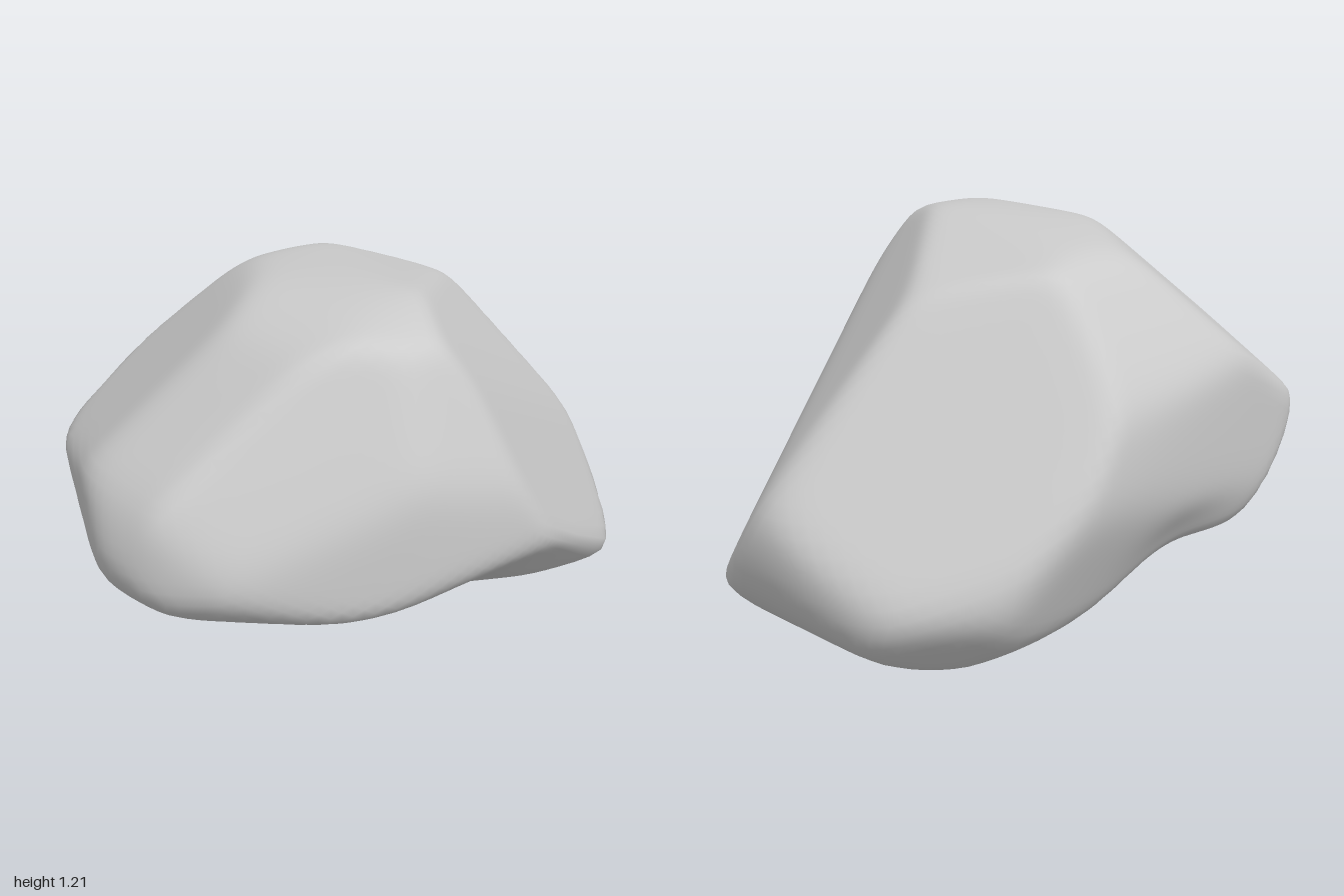
import * as THREE from 'three';
import { mergeVertices } from 'three/addons/utils/BufferGeometryUtils.js';

const CENTRE_Y = 0.6;

// Convex outlines of the boulder: elevation (x, y), profile (z, y), plan (x, z)
const ELEVATION = [[-1, 0.57], [-0.92, 0.75], [-0.47, 1.12], [-0.3, 1.18], [-0.05, 1.21], [0.45, 1.08], [0.55, 1.02],
  [0.97, 0.51], [1, 0.42], [0.97, 0.26], [0.9, 0.14], [0.82, 0.07], [0.7, 0.03], [0.42, 0], [-0.7, 0.2], [-0.9, 0.38]];
const PROFILE = [[0.77, 0.52], [0.76, 0.66], [0.56, 1.13], [0.5, 1.16], [0.27, 1.21], [0, 1.2], [-0.38, 1.16], [-0.46, 1.12],
  [-0.68, 0.88], [-0.74, 0.78], [-0.77, 0.56], [-0.61, 0.15], [-0.42, 0.03], [-0.2, 0], [0.25, 0], [0.35, 0.06]];
const PLAN = [[-1, 0.16], [-0.97, 0.28], [-0.8, 0.49], [-0.3, 0.71], [0.16, 0.765], [0.23, 0.75], [0.57, 0.61], [0.88, 0.39],
  [0.97, 0.25], [1, 0], [0.9, -0.42], [0.8, -0.55], [0.65, -0.68], [0.42, -0.77], [-0.6, -0.68], [-0.71, -0.58]];

// Oblique worn faces: normal and distance from the centre
const FACETS = [
  [0.6, 0.45, 0.66, 0.565], // broad front face on the +x side
  [0.6, 0.63, 0.49, 0.54], // its upper part, up to the ridge
  [0.716, 0.537, -0.445, 0.66], // broad back face on the +x side
  [-0.52, 0.75, -0.4, 0.62], // broad sloping top towards the back
  [-0.3, 0.906, -0.3, 0.64],
  [-0.5, 0.4, 0.77, 0.765], // front corner on the -x side
  [-0.3, -0.906, 0.3, 0.52], // underside of the overhang
  [-0.13, -0.88, 0.45, 0.515],
  [-0.75, -0.52, -0.41, 0.76],
  [-0.62, -0.78, 0.1, 0.71],
  [-0.22, -0.9, -0.38, 0.63],
  [-0.5, -0.6, -0.6, 0.78],
  [-0.5, -0.65, 0.57, 0.74],
  [0.5, -0.65, -0.57, 0.93], // lower corners of the foot
  [0.55, -0.6, 0.58, 0.95],
];

// One plane per outline edge, as a normal divided by its distance from the centre
function outlinePlanes(points, centre, toVector) {
  return points.map(([a, b], i) => {
    const [c, d] = points[(i + 1) % points.length];
    const distance = (d - b) * a + (a - c) * (b - centre);
    return toVector(d - b, a - c).divideScalar(distance);
  });
}

function boulderGeometry() {
  const planes = [
    ...outlinePlanes(ELEVATION, CENTRE_Y, (x, y) => new THREE.Vector3(x, y, 0)),
    ...outlinePlanes(PROFILE, CENTRE_Y, (z, y) => new THREE.Vector3(0, y, z)),
    ...outlinePlanes(PLAN, 0, (x, z) => new THREE.Vector3(x, 0, z)),
    ...FACETS.map(([x, y, z, d]) => new THREE.Vector3(x, y, z).divideScalar(d)),
  ];

  let geometry = new THREE.IcosahedronGeometry(1, 26);
  geometry.deleteAttribute('uv');
  geometry.deleteAttribute('normal');
  geometry = mergeVertices(geometry, 1e-5);

  // Carve the sphere with a softened intersection of all planes
  const pos = geometry.attributes.position;
  const v = new THREE.Vector3();
  const sharpness = 50;
  const allowance = 1.024; // makes up for the rounding of the edges
  for (let i = 0; i < pos.count; i++) {
    v.fromBufferAttribute(pos, i).normalize();
    let sum = 0;
    for (const plane of planes) sum += Math.max(0, plane.dot(v)) ** sharpness;
    v.multiplyScalar(allowance * sum ** (-1 / sharpness));
    v.y += CENTRE_Y;
    // Shallow hollow across the underside
    const low = 1 - THREE.MathUtils.smoothstep(v.y, 0.15, 0.5);
    v.y += 0.095 * low * Math.exp(-(((v.x + 0.04) / 0.26) ** 2));
    pos.setXYZ(i, v.x, v.y, v.z);
  }

  // Stand it on the ground
  geometry.computeBoundingBox();
  geometry.translate(0, -geometry.boundingBox.min.y, 0);
  geometry.computeVertexNormals();
  return geometry;
}

export function createModel() {
  const group = new THREE.Group();
  const boulder = new THREE.Mesh(boulderGeometry(), new THREE.MeshStandardMaterial({ color: 0xcccccc }));
  boulder.name = 'boulder';
  group.add(boulder);
  return group;
}
